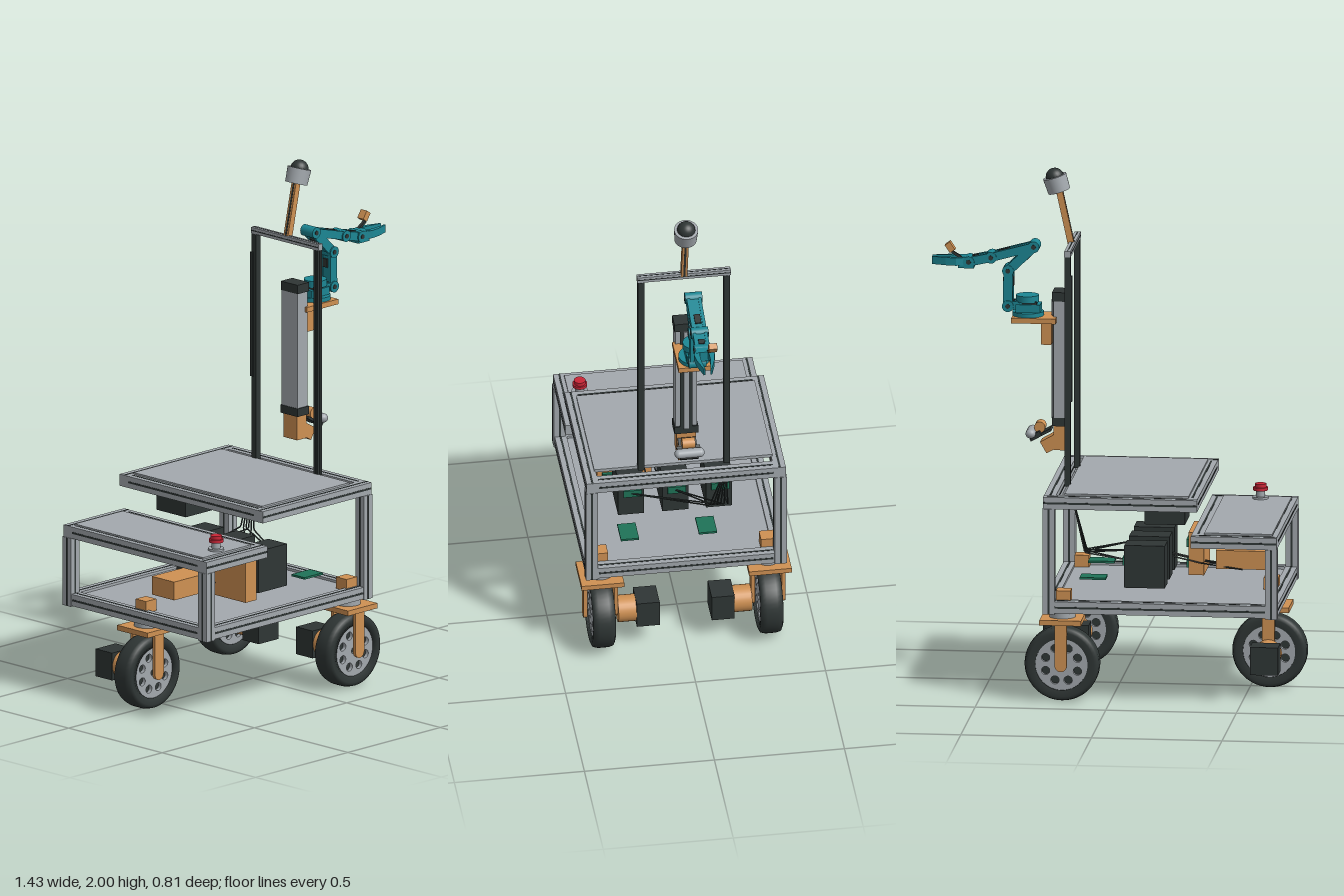
import * as THREE from 'three';

const mat = (name, color) => Object.assign(new THREE.MeshStandardMaterial({ color }), { name });

export function createModel() {
  const root = new THREE.Group();
  root.name = 'mobileRobot';
  const gray = mat('aluminiumGray', 0xa3a9ae);
  const dark = mat('charcoal', 0x2f3635);
  const orange = mat('printedOrange', 0xcf9153);
  const teal = mat('armTeal', 0x1c8794);
  const red = mat('buttonRed', 0xc92536);
  const green = mat('boardGreen', 0x1f7358);

  const add = (parent, name, geo, m, x = 0, y = 0, z = 0) => {
    const mesh = new THREE.Mesh(geo, m);
    mesh.name = name;
    mesh.position.set(x, y, z);
    parent.add(mesh);
    return mesh;
  };
  const group = (name, parent = root) => {
    const g = new THREE.Group();
    g.name = name;
    parent.add(g);
    return g;
  };
  // box given by its limits on each axis
  const span = (parent, name, m, [x0, x1], [y0, y1], [z0, z1]) =>
    add(parent, name, new THREE.BoxGeometry(x1 - x0, y1 - y0, z1 - z0), m,
      (x0 + x1) / 2, (y0 + y1) / 2, (z0 + z1) / 2);
  const cyl = (parent, name, m, r, h, x, y, z, axis = 'y', r2 = r) => {
    const geo = new THREE.CylinderGeometry(r2, r, h, 28);
    if (axis === 'z') geo.rotateX(Math.PI / 2);
    return add(parent, name, geo, m, x, y, z);
  };
  // straight bar between two points of the xy plane
  const bar = (parent, name, m, a, b, w, d, z) => {
    const dx = b[0] - a[0], dy = b[1] - a[1];
    const mesh = add(parent, name, new THREE.BoxGeometry(Math.hypot(dx, dy), w, d), m,
      (a[0] + b[0]) / 2, (a[1] + b[1]) / 2, z);
    mesh.rotation.z = Math.atan2(dy, dx);
    return mesh;
  };
  // slotted extrusion: square bar with a dark slot on its four long sides
  const T = 0.046;
  const rail = (parent, name, axis, from, to, a, b, m = gray, t = T) => {
    const g = group(name, parent);
    const L = to - from, s = t * 0.16, o = t + 0.002;
    for (const [w, h, c, l] of [[t, t, m, L], [s, o, dark, L - 0.002], [o, s, dark, L - 0.002]]) {
      const size = { x: [l, w, h], y: [w, l, h], z: [w, h, l] }[axis];
      add(g, c === dark ? 'slot' : 'profile', new THREE.BoxGeometry(...size), c);
    }
    const mid = (from + to) / 2;
    g.position.set(...{ x: [mid, a, b], y: [a, mid, b], z: [a, b, mid] }[axis]);
  };

  // ---- frame and decks ----
  const frame = group('frame');
  const X0 = -0.618, X1 = 0.23, Z = 0.36, H = T / 2;
  const ring = (name, x0, x1, y) => {
    const g = group(name, frame);
    for (const s of [-1, 1]) rail(g, 'sideRail', 'x', x0 - H, x1 + H, y, s * Z);
    for (const x of [x0, x1]) rail(g, 'crossRail', 'z', -Z + H, Z - H, x, y);
  };
  ring('baseRing', X0, X1, 0.372);
  ring('rearDeckRing', X0, -0.335, 0.638);
  ring('frontDeckRing', -0.313, X1, 0.778);
  for (const s of [-1, 1]) {
    rail(frame, 'rearPost', 'y', 0.345, 0.615, X0 - 0.002, s * (Z + 0.003));
    rail(frame, 'frontPost', 'y', 0.345, 0.755, X1 + 0.002, s * (Z + 0.003));
  }
  span(frame, 'basePlate', gray, [-0.6, 0.21], [0.375, 0.385], [-0.34, 0.34]);
  span(frame, 'rearDeckPlate', gray, [-0.62, -0.36], [0.655, 0.668], [-0.343, 0.343]);
  span(frame, 'frontDeckPlate', gray, [-0.3, 0.175], [0.795, 0.808], [-0.343, 0.343]);

  // ---- wheels, forks and motors ----
  const tyreGeo = new THREE.LatheGeometry([[0.1, -0.04], [0.125, -0.044], [0.138, -0.038], [0.143, -0.02],
    [0.143, 0.02], [0.138, 0.038], [0.125, 0.044], [0.1, 0.04], [0.1, -0.04]]
    .map(p => new THREE.Vector2(...p)), 48).rotateX(Math.PI / 2);
  const disc = new THREE.Shape().absarc(0, 0, 0.102, 0, Math.PI * 2);
  const hole = (x, y, r) => disc.holes.push(new THREE.Path().absarc(x, y, r, 0, Math.PI * 2, true));
  hole(0, 0, 0.014);
  for (let i = 0; i < 8; i++) {
    const a = (i + 0.5) * Math.PI / 4;
    hole(Math.cos(a) * 0.066, Math.sin(a) * 0.066, 0.016);
  }
  const hubGeo = new THREE.ExtrudeGeometry(disc, { depth: 0.07, bevelEnabled: false, curveSegments: 24 });
  hubGeo.translate(0, 0, -0.035);
  const wheel = (name, x, z, side) => {
    const g = group(name);
    g.position.set(x, 0.146, z);
    add(g, 'tyre', tyreGeo, dark);
    add(g, 'hub', hubGeo, gray);
    cyl(g, 'hubCore', dark, 0.095, 0.04, 0, 0, 0, 'z');
    span(g, 'forkPlate', orange, [-0.08, 0.08], [0.16, 0.18], [-0.082, 0.082]);
    cyl(g, 'swivel', gray, 0.05, 0.024, 0, 0.191, 0);
    for (const s of [-1, 1]) {
      span(g, 'forkArm', orange, [-0.0235, 0.0235], [0, 0.165], [s * 0.059 - 0.007, s * 0.059 + 0.007]);
      cyl(g, 'forkEnd', orange, 0.0235, 0.014, 0, 0, s * 0.059, 'z');
    }
    cyl(g, 'gearbox', orange, 0.052, 0.07, 0, 0, side * 0.1, 'z');
    add(g, 'motor', new THREE.BoxGeometry(0.108, 0.108, 0.088), dark, 0, 0, side * 0.178);
    span(g, 'mountCap', orange, [-0.034, 0.022], [0.238, 0.285], [-0.028, 0.028]);
  };
  wheel('frontLeftWheel', 0.185, 0.322, -1);
  wheel('frontRightWheel', 0.185, -0.322, 1);
  wheel('rearWheel', -0.575, 0, -1);

  // ---- electronics on the base ----
  const bay = group('electronics');
  span(bay, 'battery', orange, [-0.57, -0.365], [0.45, 0.522], [0.02, 0.14]);
  span(bay, 'controlBox', orange, [-0.315, -0.255], [0.415, 0.58], [0.06, 0.27]);
  for (const y of [0.45, 0.53])
    span(bay, 'controlBoxPlug', green, [-0.256, -0.243], [y - 0.015, y + 0.015], [0.1, 0.25]);
  for (const z of [-0.168, 0, 0.17]) {
    span(bay, 'motorDriver', dark, [-0.195, -0.04], [0.42, 0.585], [z - 0.05, z + 0.05]);
    span(bay, 'driverPlug', green, [-0.041, -0.032], [0.505, 0.535], [z - 0.04, z + 0.03]);
  }
  span(bay, 'computer', dark, [-0.275, -0.12], [0.675, 0.74], [-0.245, -0.09]);
  for (const z of [-0.1, 0.2])
    span(bay, 'circuitBoard', green, [0.04, 0.14], [0.43, 0.438], [z - 0.035, z + 0.035]);

  // thin cables
  const cable = pts => {
    const path = new THREE.CurvePath();
    for (let i = 1; i < pts.length; i++)
      path.add(new THREE.LineCurve3(new THREE.Vector3(...pts[i - 1]), new THREE.Vector3(...pts[i])));
    add(bay, 'cable', new THREE.TubeGeometry(path, 40, 0.003, 5), dark);
  };
  for (let i = 0; i < 6; i++) {
    const z = -0.18 + i * 0.014;
    cable([[0.165, 0.76, -0.165], [0.115, 0.545, z], [-0.035, 0.52, [-0.17, 0, 0.17][i % 3]]]);
  }
  for (const z of [0.05, 0.09, 0.11]) cable([[-0.19, 0.49, z], [-0.3, 0.465, z], [-0.47, 0.453, z - 0.05]]);

  // ---- emergency button ----
  const button = group('stopButton');
  cyl(button, 'buttonBase', gray, 0.031, 0.008, -0.505, 0.672, 0.3);
  cyl(button, 'buttonStem', gray, 0.017, 0.03, -0.505, 0.688, 0.3);
  cyl(button, 'buttonFlange', red, 0.028, 0.012, -0.505, 0.706, 0.3);
  cyl(button, 'buttonTop', red, 0.022, 0.014, -0.505, 0.719, 0.3);

  // ---- mast with sensor head ----
  const mast = group('mast');
  for (const s of [-1, 1]) rail(mast, 'mastPost', 'y', 0.8, 1.692, 0.182, s * 0.165, dark, 0.024);
  rail(mast, 'mastTop', 'z', -0.18, 0.18, 0.182, 1.704, gray, 0.024);
  span(mast, 'cableDuct', dark, [0.164, 0.176], [1.13, 1.62], [-0.18, -0.165]);
  bar(mast, 'sensorPole', orange, [0.187, 1.71], [0.235, 1.93], 0.024, 0.024, 0);
  bar(mast, 'poleSlot', dark, [0.187, 1.712], [0.235, 1.928], 0.026, 0.008, 0);
  const head = group('sensorHead', mast);
  head.position.set(0.243, 1.945, 0);
  head.rotation.z = -0.3;
  cyl(head, 'sensorBody', gray, 0.043, 0.06, 0, -0.005, 0, 'y', 0.046);
  add(head, 'sensorDome', new THREE.SphereGeometry(0.035, 24, 10, 0, Math.PI * 2, 0, Math.PI / 2), dark, 0, 0.022, 0);

  // ---- lift column ----
  const lift = group('lift');
  span(lift, 'column', gray, [0.196, 0.25], [1.02, 1.5], [-0.042, 0.042]);
  span(lift, 'railSlot', dark, [0.249, 0.256], [1.03, 1.49], [-0.024, 0.024]);
  span(lift, 'slideRail', gray, [0.25, 0.262], [1.03, 1.49], [-0.011, 0.011]);
  span(lift, 'topCap', dark, [0.194, 0.256], [1.49, 1.525], [-0.044, 0.046]);
  span(lift, 'bottomCap', dark, [0.194, 0.256], [1.005, 1.037], [-0.046, 0.046]);
  span(lift, 'liftMotor', orange, [0.2, 0.25], [0.91, 1.005], [-0.037, 0.037]);
  bar(lift, 'cameraBracket', orange, [0.225, 0.955], [0.29, 0.918], 0.05, 0.07, 0);
  span(lift, 'shelfBracket', orange, [0.256, 0.296], [1.325, 1.412], [-0.063, 0.03]);
  span(lift, 'shelf', orange, [0.238, 0.408], [1.41, 1.43], [-0.083, 0.052]);

  // lower camera
  const cam = group('lowerCamera');
  cyl(cam, 'cameraKnuckle', orange, 0.021, 0.05, 0.305, 0.995, 0, 'z');
  bar(cam, 'cameraBack', dark, [0.262, 0.988], [0.34, 0.945], 0.01, 0.07, 0);
  const body = add(cam, 'cameraBody', new THREE.CapsuleGeometry(0.018, 0.08, 6, 16).rotateX(Math.PI / 2), gray, 0.338, 0.972, 0);
  body.scale.x = 1.1;
  bar(cam, 'cameraLens', dark, [0.3, 0.975], [0.335, 0.955], 0.02, 0.09, 0);

  // ---- robot arm ----
  const arm = group('robotArm');
  const AZ = -0.016;
  cyl(arm, 'armBase', teal, 0.06, 0.016, 0.35, 1.438, AZ);
  span(arm, 'baseBlock', teal, [0.3, 0.395], [1.446, 1.476], [AZ - 0.035, AZ + 0.035]);
  span(arm, 'baseServo', dark, [0.315, 0.37], [1.474, 1.488], [AZ - 0.03, AZ + 0.03]);
  cyl(arm, 'turret', teal, 0.044, 0.026, 0.352, 1.496, AZ);
  const P = [[0.37, 1.475], [0.425, 1.468], [0.424, 1.605], [0.326, 1.7], [0.49, 1.655], [0.575, 1.636]];
  const widths = [0.03, 0.036, 0.036, 0.032, 0.034];
  for (let i = 0; i < 5; i++) {
    const [a, b] = [P[i], P[i + 1]];
    for (const s of [-1, 1]) bar(arm, 'linkCheek', teal, a, b, widths[i], 0.012, AZ + s * 0.022);
    const at = t => [a[0] + (b[0] - a[0]) * t, a[1] + (b[1] - a[1]) * t];
    bar(arm, 'linkCore', teal, at(0.1), at(0.9), widths[i] * 0.8, 0.034, AZ);
    bar(arm, 'linkServo', dark, at(0.55), at(0.8), widths[i] + 0.004, 0.024, AZ);
    cyl(arm, 'joint', teal, 0.022, 0.066, b[0], b[1], AZ, 'z');
    cyl(arm, 'jointPin', dark, 0.009, 0.07, b[0], b[1], AZ, 'z');
  }

  // gripper: two tapering, hooked jaws
  const jaw = new THREE.Shape([[0, -0.012], [0.05, -0.03], [0.09, -0.024], [0.145, -0.006], [0.145, 0],
    [0.085, -0.008], [0.05, -0.008], [0, 0.012]].map(p => new THREE.Vector2(...p)));
  const jawGeo = new THREE.ExtrudeGeometry(jaw, { depth: 0.03, bevelEnabled: false }).translate(0, 0, -0.015);
  span(arm, 'gripperPalm', teal, [0.555, 0.615], [1.612, 1.655], [AZ - 0.03, AZ + 0.03]);
  for (const s of [-1, 1]) {
    const m = add(arm, 'gripperJaw', jawGeo, teal, 0.572, 1.638, AZ + s * 0.01);
    m.rotation.x = s > 0 ? -Math.PI / 2 : Math.PI / 2;
  }
  bar(arm, 'wristCameraStem', dark, [0.595, 1.645], [0.64, 1.675], 0.01, 0.012, -0.035);
  bar(arm, 'wristCamera', orange, [0.635, 1.68], [0.655, 1.71], 0.024, 0.032, -0.045);

  return root;
}
